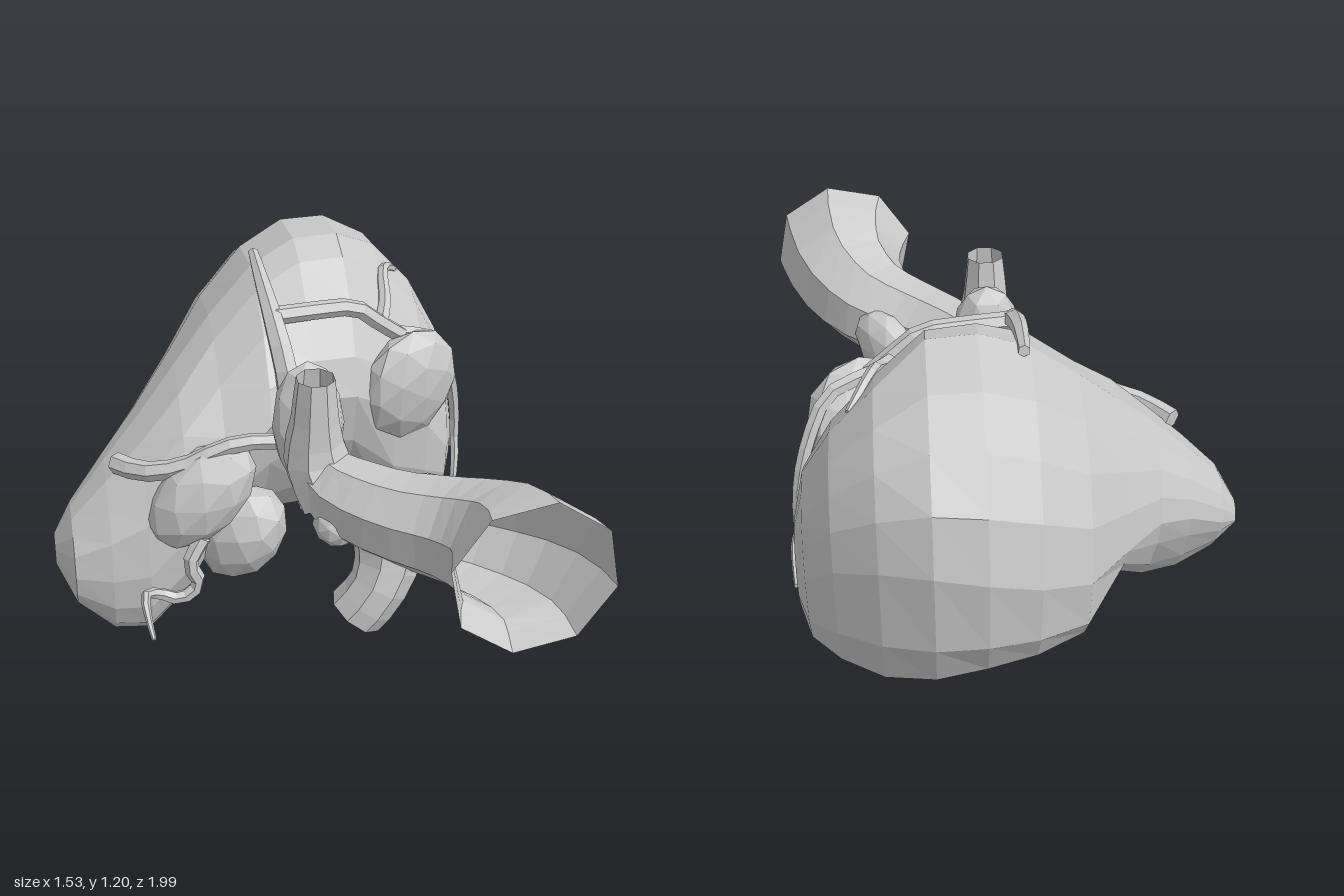
import * as THREE from 'three';

const grey = new THREE.MeshStandardMaterial({ color: 0xcccccc, flatShading: true });
const greyOpen = new THREE.MeshStandardMaterial({ color: 0xcccccc, flatShading: true, side: THREE.DoubleSide });
const V = (p) => new THREE.Vector3(...p);

// Skin over rings of points that run counter-clockwise about the direction of travel
function loft(rings, capped) {
  const n = rings[0].length, pos = [];
  const tri = (...ps) => ps.forEach((p) => pos.push(p.x, p.y, p.z));
  for (let i = 0; i < rings.length - 1; i++) {
    for (let j = 0; j < n; j++) {
      const k = (j + 1) % n, a = rings[i], b = rings[i + 1];
      tri(a[j], a[k], b[k]);
      tri(a[j], b[k], b[j]);
    }
  }
  if (capped) {
    [rings[0], rings[rings.length - 1]].forEach((r, e) => {
      const c = new THREE.Vector3();
      r.forEach((p) => c.addScaledVector(p, 1 / n));
      r.forEach((p, j) => (e ? tri(c, p, r[(j + 1) % n]) : tri(c, r[(j + 1) % n], p)));
    });
  }
  const g = new THREE.BufferGeometry();
  g.setAttribute('position', new THREE.Float32BufferAttribute(pos, 3));
  g.computeVertexNormals();
  return g;
}

// Tube through points, its radius blending along the list of radii
function tube(points, radii, sides, capped) {
  const curve = new THREE.CatmullRomCurve3(points.map(V), false, 'centripetal');
  const steps = (points.length - 1) * 2;
  const { normals, binormals } = curve.computeFrenetFrames(steps);
  const rings = [];
  for (let i = 0; i <= steps; i++) {
    const f = (i / steps) * (radii.length - 1), q = Math.min(Math.floor(f), radii.length - 2);
    const r = THREE.MathUtils.lerp(radii[q], radii[q + 1], f - q);
    const c = curve.getPointAt(i / steps);
    rings.push(Array.from({ length: sides }, (_, j) => {
      const a = ((j + 0.5) / sides) * Math.PI * 2;
      return c.clone().addScaledVector(normals[i], r * Math.cos(a)).addScaledVector(binormals[i], r * Math.sin(a));
    }));
  }
  return loft(rings, capped);
}

// Main body, cut along x: x, bottom y, top y, back z, front z, bottom's z, top's z, back's y, front's y
const SECTIONS = [
  [-0.76, 0.23, 0.33, -0.15, -0.05, -0.1, -0.1, 0.28, 0.28],
  [-0.70, 0.11, 0.44, -0.21, 0.07, -0.06, -0.1, 0.32, 0.26],
  [-0.58, 0.01, 0.58, -0.31, 0.11, -0.04, -0.14, 0.42, 0.26],
  [-0.46, 0.0, 0.71, -0.43, 0.13, -0.05, -0.18, 0.5, 0.28],
  [-0.33, 0.12, 0.85, -0.62, 0.13, -0.1, -0.25, 0.55, 0.42],
  [-0.20, 0.2, 0.99, -0.82, 0.1, -0.3, -0.32, 0.6, 0.62],
  [-0.05, 0.2, 1.13, -0.93, 0.06, -0.42, -0.38, 0.68, 0.76],
  [0.10, 0.18, 1.2, -0.99, -0.02, -0.45, -0.42, 0.75, 0.8],
  [0.25, 0.14, 1.2, -0.99, -0.06, -0.5, -0.44, 0.78, 0.78],
  [0.40, 0.11, 1.11, -0.92, -0.11, -0.5, -0.55, 0.75, 0.7],
  [0.53, 0.13, 0.97, -0.82, -0.18, -0.44, -0.55, 0.68, 0.58],
  [0.62, 0.18, 0.8, -0.7, -0.26, -0.4, -0.5, 0.55, 0.45],
  [0.655, 0.29, 0.62, -0.58, -0.35, -0.43, -0.48, 0.48, 0.44],
];

// Roundness of a quarter of a body section: below 1 is fuller, above 1 is flatter
function quarterShape(x, up, front) {
  if (x < -0.25) return up ? 0.92 : front ? 0.85 : 1.55;
  if (!front) return 0.84;
  return up ? 1.25 : x < 0.35 ? 1.3 : 0.95;
}

function bodyGeometry() {
  const n = 16;
  return loft(SECTIONS.map(([x, y0, y1, zb, zf, z0, z1, yb, yf]) => {
    const ring = [];
    for (let j = 0; j < n; j++) {
      const a = (j / n) * Math.PI * 2, c = Math.cos(a), s = Math.sin(a);
      const up = c >= 0, front = s >= 0, e = quarterShape(x, up, front);
      const u = Math.abs(c) ** e, w = Math.abs(s) ** e;
      const py = up ? y1 : y0, pz = up ? z1 : z0, sy = front ? yf : yb, sz = front ? zf : zb;
      ring.push(new THREE.Vector3(x, sy + (py - sy) * u, pz + (sz - pz) * w));
    }
    return ring;
  }), true);
}

export function createModel() {
  const model = new THREE.Group();
  const add = (name, geometry, material = grey) => {
    const mesh = new THREE.Mesh(geometry, material);
    mesh.name = name;
    model.add(mesh);
    return mesh;
  };
  const lobe = (name, at, radii, turn = [0, 0, 0]) => {
    const mesh = add(name, new THREE.IcosahedronGeometry(1.04, 1));
    mesh.position.set(...at);
    mesh.scale.set(...radii);
    mesh.rotation.set(...turn);
  };

  add('body', bodyGeometry());

  // Rounded lobes
  lobe('upperFrontLobe', [-0.285, 0.55, 0.09], [0.13, 0.21, 0.11], [0, 0, -0.75]);
  lobe('lowerFrontLobe', [-0.14, 0.335, -0.01], [0.13, 0.185, 0.13], [0.35, 0, -0.45]);
  lobe('neckLobe', [0.045, 0.82, 0.175], [0.11, 0.2, 0.09], [-0.12, 0, 0]);
  lobe('trunkSideLobe', [0.36, 0.63, 0.43], [0.155, 0.115, 0.075], [0, -0.7, 0.6]);
  lobe('trunkKnob', [0.085, 0.615, 0.43], [0.07, 0.065, 0.09]);
  lobe('sideLobe', [0.45, 0.755, -0.17], [0.18, 0.2, 0.095], [0.15, 0.45, 0]);

  // Large trunk flaring to an open mouth at the front
  add('trunk', tube(
    [[0.04, 0.74, 0.25], [0.1, 0.69, 0.36], [0.24, 0.67, 0.51], [0.41, 0.68, 0.65], [0.5, 0.71, 0.79], [0.525, 0.73, 0.9], [0.525, 0.73, 1]],
    [0.09, 0.13, 0.145, 0.165, 0.195, 0.245], 8, false), greyOpen);
  add('upperBranch', tube(
    [[0.04, 1.05, 0.315], [0.04, 0.92, 0.31], [0.05, 0.76, 0.3], [0.1, 0.66, 0.35]],
    [0.06, 0.075, 0.105, 0.12], 8, false), greyOpen);
  add('lowerBranch', tube(
    [[0.22, 0.68, 0.49], [0.225, 0.55, 0.53], [0.185, 0.45, 0.56], [0.125, 0.365, 0.55]],
    [0.12, 0.105, 0.09, 0.09], 8, false), greyOpen);

  // Connection between the trunk and the body
  add('connector', tube([[0.06, 0.7, 0.22], [0.07, 0.6, 0.15], [0.06, 0.5, 0.13]], [0.05, 0.06, 0.04], 7, true));

  // Thin vessels running over the surface
  const vessels = {
    rightVessel: [[0.035, 0.024], [[-0.545, 0.62, -0.04], [-0.46, 0.63, 0.05], [-0.34, 0.66, 0.09], [-0.2, 0.73, 0.11], [-0.05, 0.74, 0.12], [0.08, 0.7, 0.15]]],
    risingVessel: [[0.045, 0.038, 0.018], [[0.09, 0.6, 0.14], [0.07, 0.75, 0.11], [0.02, 0.82, 0.05], [0, 0.95, 0], [-0.02, 1.06, -0.11], [-0.03, 1.125, -0.28], [-0.03, 1.15, -0.44]]],
    crossVessel: [[0.03, 0.028], [[-0.02, 1.06, -0.12], [0.12, 1.06, -0.14], [0.26, 1.05, -0.16], [0.34, 0.99, -0.17], [0.42, 0.93, -0.19]]],
    topBranchVessel: [[0.026, 0.014], [[0.35, 0.97, -0.18], [0.385, 1.01, -0.28], [0.4, 1.07, -0.39], [0.43, 1.06, -0.46], [0.47, 1.02, -0.53]]],
    sideVessel: [[0.026, 0.022, 0.012], [[0.4, 0.94, -0.19], [0.54, 0.89, -0.23], [0.61, 0.76, -0.28], [0.65, 0.6, -0.31], [0.66, 0.44, -0.31], [0.655, 0.36, -0.27], [0.64, 0.27, -0.27]]],
    sideTwig: [[0.018, 0.008], [[0.66, 0.43, -0.31], [0.67, 0.43, -0.37], [0.67, 0.37, -0.44], [0.665, 0.37, -0.5]]],
    frontVessel: [[0.028, 0.022, 0.008], [[-0.29, 0.42, 0.14], [-0.335, 0.34, 0.16], [-0.31, 0.26, 0.16], [-0.37, 0.21, 0.16], [-0.44, 0.235, 0.16], [-0.485, 0.26, 0.2], [-0.485, 0.22, 0.27], [-0.475, 0.18, 0.335]]],
  };
  for (const [name, [radii, points]] of Object.entries(vessels)) add(name, tube(points, radii, 6, true));

  return model;
}
